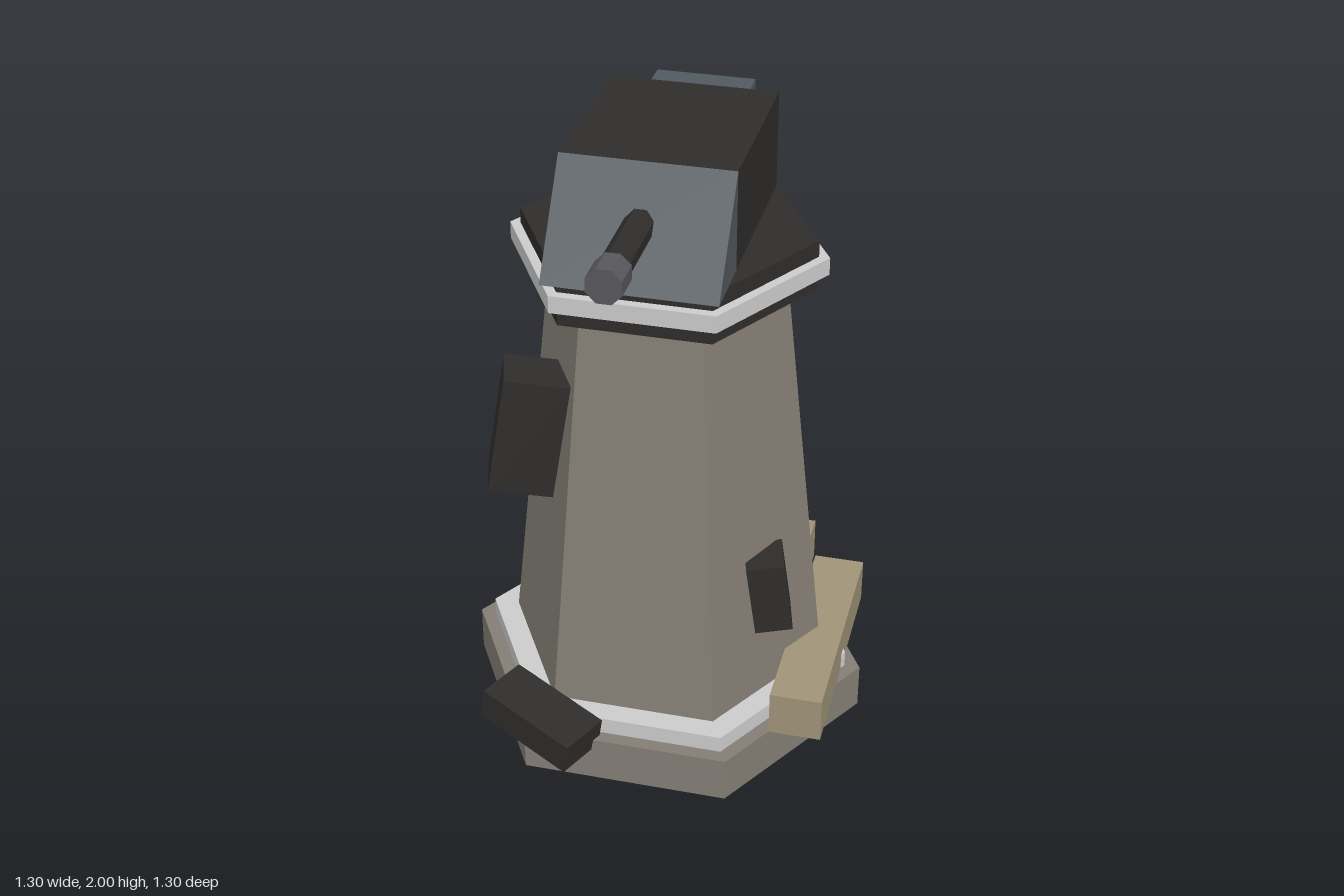
import * as THREE from 'three';

const CENTER_Z = -0.057;
const mat = (color) => new THREE.MeshStandardMaterial({ color, flatShading: true });
const STONE = mat(0x837d74), GREY = mat(0xcccccc), DARK = mat(0x2f2d2b);
const STEEL = mat(0x535960), WOOD = mat(0xa09479), MUZZLE = mat(0x57575c);

export function createModel() {
  const model = new THREE.Group();

  const add = (name, geometry, material) => {
    const mesh = new THREE.Mesh(geometry, material);
    mesh.name = name;
    model.add(mesh);
    return mesh;
  };

  // six-sided tier with corners pointing to +x and -x
  const tier = (name, rBottom, rTop, y0, y1, material) => {
    const geo = new THREE.CylinderGeometry(rTop, rBottom, y1 - y0, 6);
    geo.rotateY(Math.PI / 6);
    add(name, geo, material).position.set(0, (y0 + y1) / 2, CENTER_Z);
  };

  // box given by its extents
  const block = (name, [x0, x1], [y0, y1], [z0, z1], material) =>
    add(name, new THREE.BoxGeometry(x1 - x0, y1 - y0, z1 - z0), material)
      .position.set((x0 + x1) / 2, (y0 + y1) / 2, (z0 + z1) / 2);

  // turned and leaning box
  const debris = (name, size, position, yaw, lean) => {
    const mesh = add(name, new THREE.BoxGeometry(...size), DARK);
    mesh.position.set(...position);
    mesh.rotation.set(0, yaw, lean, 'YXZ');
  };

  // eight-sided rod along z, flat side up
  const rod = (name, radius, z0, z1, material) => {
    const geo = new THREE.CylinderGeometry(radius, radius, z1 - z0, 8);
    geo.rotateY(Math.PI / 8).rotateX(Math.PI / 2);
    add(name, geo, material).position.set(0, 1.848, (z0 + z1) / 2);
  };

  // tower
  tier('base', 0.65, 0.65, 0, 0.15, STONE);
  tier('baseRing', 0.6, 0.6, 0.15, 0.205, GREY);
  tier('towerBody', 0.517, 0.37, 0.2, 1.535, STONE);
  tier('collar', 0.457, 0.457, 1.532, 1.692, DARK);
  tier('collarRing', 0.49, 0.49, 1.585, 1.64, GREY);

  // turret housing with sloped front plate
  block('turretHousing', [-0.26, 0.26], [1.69, 2], [-0.39, 0.18], DARK);
  const slope = new THREE.Shape([
    new THREE.Vector2(-0.18, 1.69),
    new THREE.Vector2(-0.18, 2),
    new THREE.Vector2(-0.4, 1.69),
  ]);
  const wedge = new THREE.ExtrudeGeometry(slope, { depth: 0.52, bevelEnabled: false });
  wedge.translate(0, 0, -0.26).rotateY(Math.PI / 2);
  add('turretFront', wedge, STEEL);
  block('turretRearBox', [-0.155, 0.155], [1.795, 1.965], [-0.55, -0.39], STEEL);

  // gun
  rod('barrel', 0.046, 0.26, 0.56, DARK);
  rod('muzzle', 0.056, 0.55, 0.65, MUZZLE);

  // barricade beams
  block('sideBeam', [0.425, 0.59], [0.146, 0.294], [-0.445, 0.327], WOOD);
  block('rearBeam', [-0.387, 0.387], [0.146, 0.294], [-0.65, -0.485], WOOD);

  // loose blocks on the tower and base
  debris('upperBlock', [0.2, 0.39, 0.165], [-0.365, 1.1, 0.222], 0.3, -0.16);
  debris('lowerBlock', [0.118, 0.24, 0.15], [0.378, 0.583, 0.155], 0.25, 0.14);
  debris('groundBlock', [0.345, 0.106, 0.17], [-0.274, 0.192, 0.488], -0.41, -0.17);

  return model;
}
